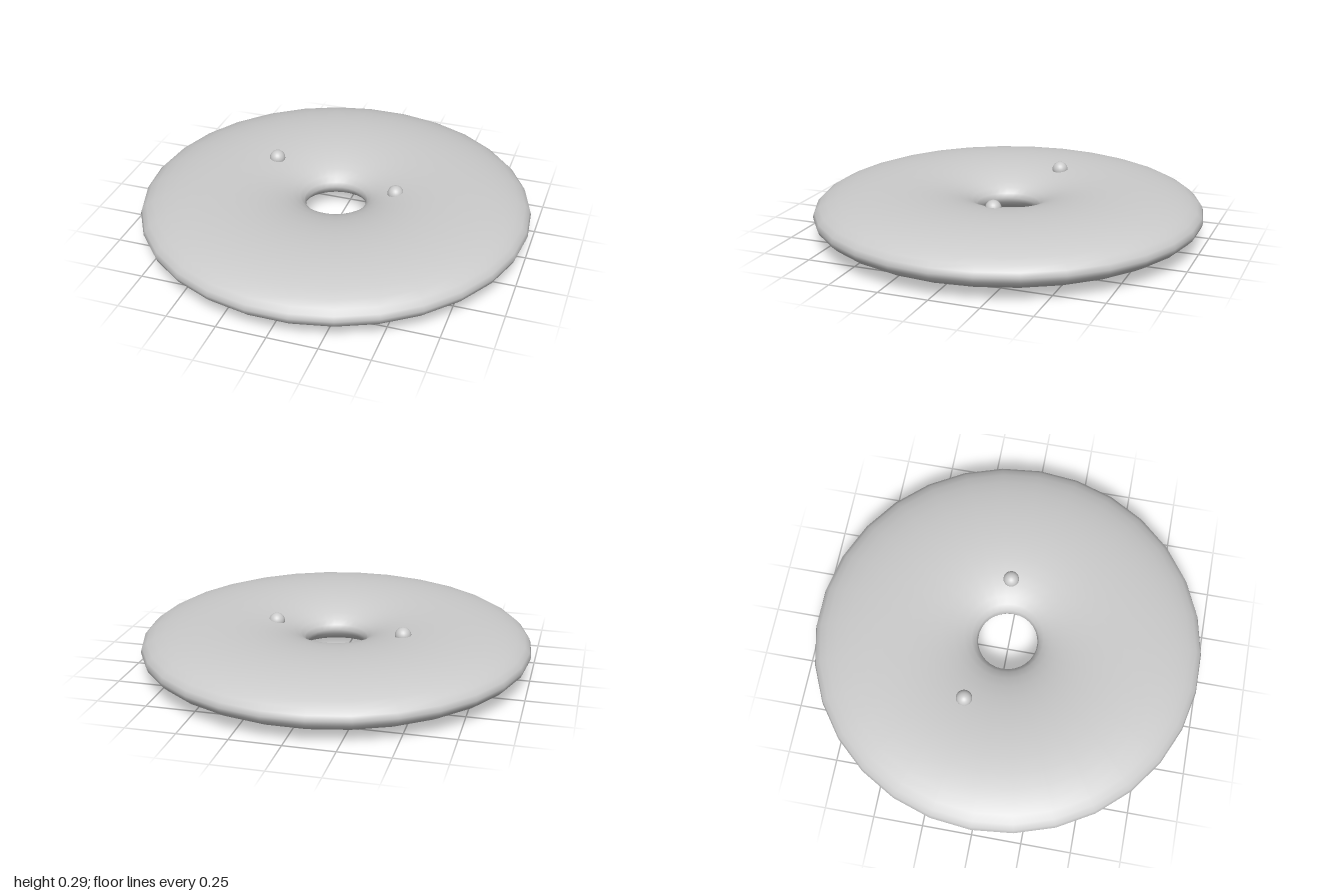
import * as THREE from 'three';

export function createModel() {
  const group = new THREE.Group();
  const material = new THREE.MeshStandardMaterial({ color: 0xcccccc });
  const ringRadius = 0.577, tubeRadius = 0.423, halfHeight = 0.127;

  // flattened ring: a torus lying down and squashed in height
  const ringGeometry = new THREE.TorusGeometry(ringRadius, tubeRadius, 32, 30);
  ringGeometry.rotateX(-Math.PI / 2);
  ringGeometry.scale(1, halfHeight / tubeRadius, 1);
  const ring = new THREE.Mesh(ringGeometry, material);
  ring.name = 'flattenedRing';
  ring.position.y = halfHeight;
  group.add(ring);

  // small beads, half sunk into the upper surface
  const beadGeometry = new THREE.SphereGeometry(0.041, 24, 16);
  const addBead = (name, x, y, z) => {
    const bead = new THREE.Mesh(beadGeometry, material);
    bead.name = name;
    bead.position.set(x, y, z);
    group.add(bead);
  };
  addBead('rightBead', -0.378, 0.245, -0.152);
  addBead('leftBead', 0.307, 0.222, -0.038);

  return group;
}
